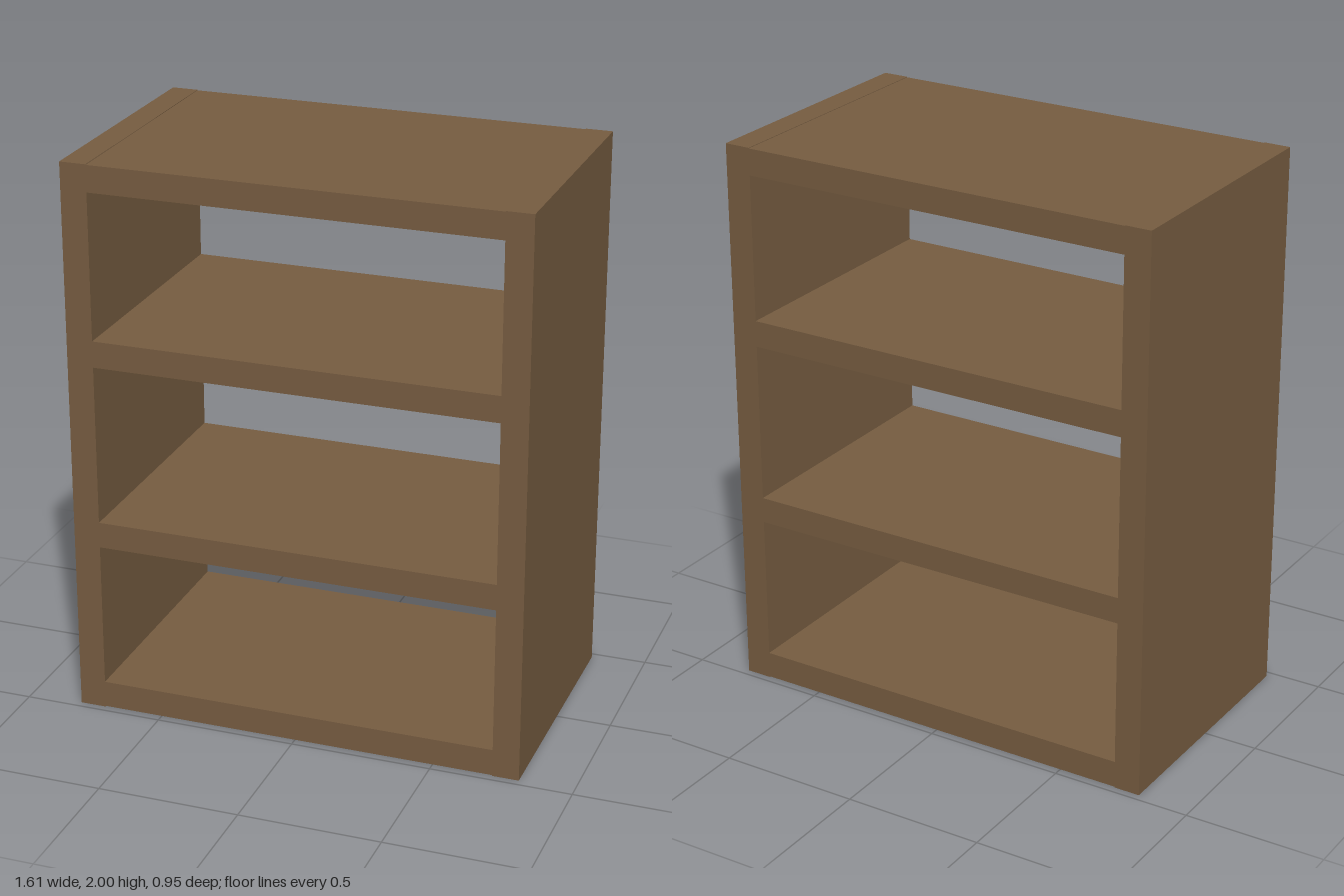
import * as THREE from 'three';

export function createModel() {
  const group = new THREE.Group();
  const wood = new THREE.MeshStandardMaterial({ color: 0x775d41 });
  wood.name = 'brown wood';

  const outer = 0.807, inner = 0.713, depth = 0.947;

  // One board, given by its x and y extents
  function board(name, x0, x1, y0, y1) {
    const mesh = new THREE.Mesh(new THREE.BoxGeometry(x1 - x0, y1 - y0, depth), wood);
    mesh.position.set((x0 + x1) / 2, (y0 + y1) / 2, 0);
    mesh.name = name;
    group.add(mesh);
  }

  // Upright side panels, full height
  board('leftSide', inner, outer, 0, 2);
  board('rightSide', -outer, -inner, 0, 2);

  // Boards between the sides; top and bottom sit a hair inside the side ends
  const levels = [
    ['bottomBoard', 0.003, 0.099],
    ['lowerShelf', 0.623, 0.716],
    ['upperShelf', 1.289, 1.383],
    ['topBoard', 1.904, 1.998],
  ];
  for (const [name, y0, y1] of levels) board(name, -inner, inner, y0, y1);

  return group;
}
